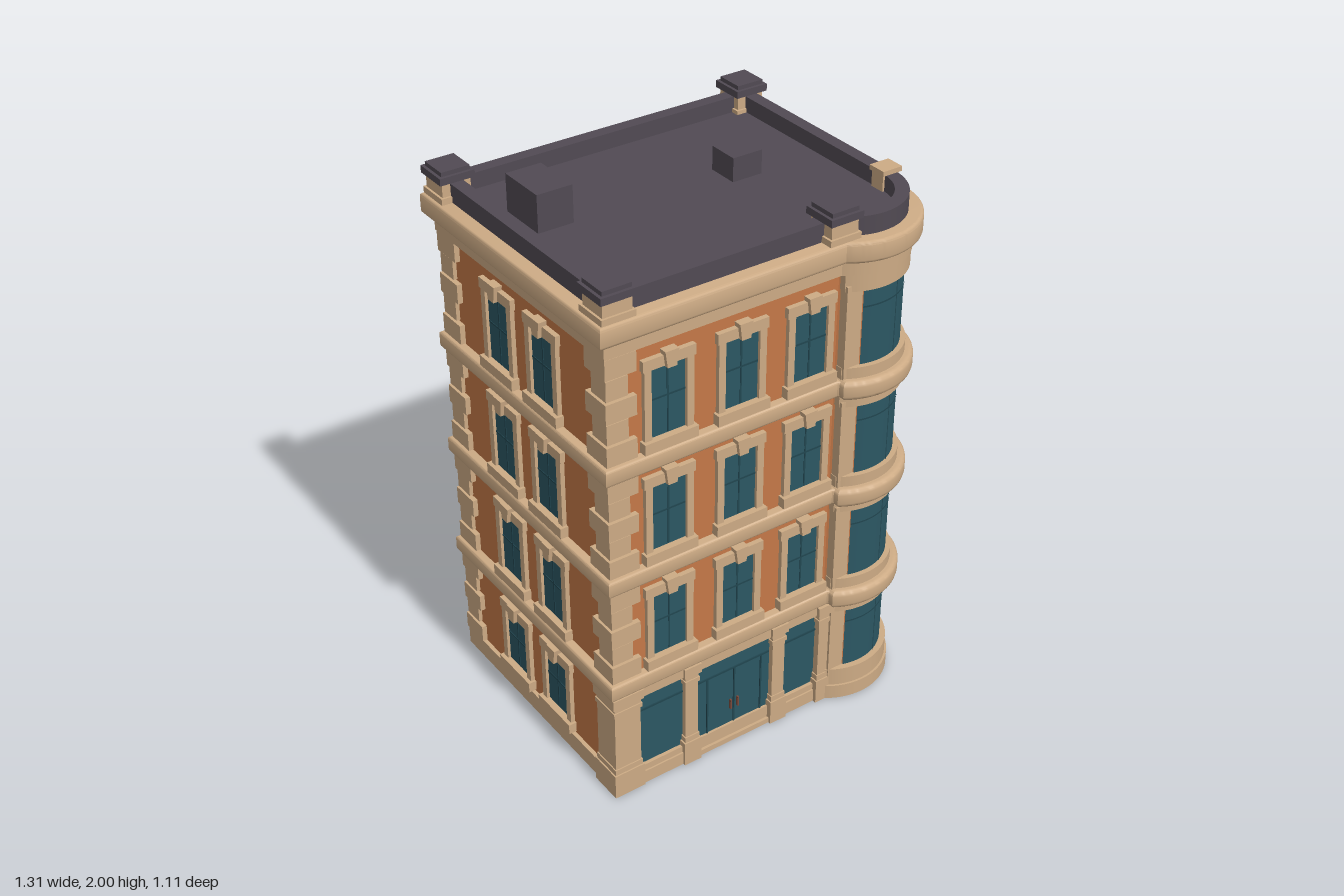
import * as THREE from 'three';
import { toCreasedNormals } from 'three/addons/utils/BufferGeometryUtils.js';

const mat = (name, color, side = THREE.FrontSide) => {
  const m = new THREE.MeshStandardMaterial({ color, side });
  m.name = name;
  return m;
};

// Wall lines, and the centre and radius of the rounded corner bay
const X = 0.605, BACK = -0.505, FRONT = 0.455, CX = 0.4, CZ = 0.3, R = 0.205;
const FLOORS = [0.065, 0.49, 0.92, 1.345];

export function createModel() {
  const root = new THREE.Group();
  root.name = 'cornerBuilding';
  const brick = mat('brick', 0xc47848), stone = mat('stone', 0xcdab85);
  const glass = mat('glass', 0x2c5763, THREE.DoubleSide), bars = mat('windowBars', 0x214650);
  const slate = mat('roofSlate', 0x514a53), brass = mat('doorHandle', 0x7a4a3c);

  const add = (parent, name, geo, m) => {
    const mesh = new THREE.Mesh(geo, m);
    mesh.name = name;
    parent.add(mesh);
    return mesh;
  };
  // Box given by its limits
  const box = (parent, name, m, x0, x1, y0, y1, z0, z1) => {
    const mesh = add(parent, name, new THREE.BoxGeometry(x1 - x0, y1 - y0, z1 - z0), m);
    mesh.position.set((x0 + x1) / 2, (y0 + y1) / 2, (z0 + z1) / 2);
    return mesh;
  };

  // Building plan, grown outward by o; shape y is -z
  const plan = (o, Type = THREE.Shape) => {
    const s = new Type(), r = R + o;
    const a = Math.PI + Math.asin((FRONT - CZ + o) / r);
    s.moveTo(-X - o, -BACK + o);
    s.lineTo(-X - o, -FRONT - o);
    s.lineTo(CX + r * Math.cos(a), -FRONT - o);
    s.absarc(CX, -CZ, r, a, Math.PI * 2, false);
    s.lineTo(X + o, -BACK + o);
    s.closePath();
    return s;
  };
  // Plan of the bay trims alone
  const bayPlan = (r, left = 0.26, rear = 0.24) => {
    const s = new THREE.Shape(), a = Math.PI + Math.acos((CX - left) / r);
    s.moveTo(CX, -rear);
    s.lineTo(left, -FRONT + 0.1);
    s.lineTo(left, -CZ + r * Math.sin(a));
    s.absarc(CX, -CZ, r, a, Math.PI * 2, false);
    s.lineTo(CX + r, -rear);
    s.closePath();
    return s;
  };
  const slab = (name, shape, y0, y1, m, b = 0) => {
    let geo = new THREE.ExtrudeGeometry(shape, {
      depth: y1 - y0 - 2 * b, curveSegments: 28, bevelEnabled: b > 0,
      bevelThickness: b, bevelSize: b, bevelOffset: -b, bevelSegments: 3,
    });
    geo.translate(0, 0, b);
    geo.rotateX(-Math.PI / 2);
    geo = toCreasedNormals(geo, 0.6);
    add(root, name, geo, m).position.y = y0;
  };

  // Body, plinth, storey bands and cornice
  slab('walls', plan(-0.002), 0, 1.84, brick);
  slab('plinth', plan(0.013), 0.004, 0.075, stone);
  for (const y of [0.43, 0.86, 1.285]) {
    slab('storeyBand', plan(0.03), y, y + 0.06, stone, 0.008);
    slab('bayBand', bayPlan(0.253), y - 0.005, y + 0.065, stone, 0.018);
  }
  slab('frieze', plan(0.02), 1.73, 1.79, stone);
  slab('cornice', plan(0.05), 1.785, 1.86, stone, 0.012);

  // Roof deck and parapet
  slab('roofDeck', plan(-0.03), 1.85, 1.868, slate);
  const rim = plan(0);
  rim.holes.push(plan(-0.047, THREE.Path));
  slab('parapet', rim, 1.86, 1.925, slate);

  // Corner piers with stepped caps
  for (const [x, z] of [[-0.583, -0.488], [0.578, -0.488], [-0.583, 0.436], [0.248, 0.441]]) {
    const p = new THREE.Group();
    p.name = 'roofPier';
    p.position.set(x, 0, z);
    box(p, 'pierFoot', stone, -0.06, 0.06, 1.86, 1.882, -0.06, 0.06);
    box(p, 'pierBlock', stone, -0.052, 0.052, 1.88, 1.93, -0.052, 0.052);
    box(p, 'pierCap', slate, -0.063, 0.063, 1.93, 1.955, -0.063, 0.063);
    box(p, 'pierCapTop', slate, -0.052, 0.052, 1.955, 1.97, -0.052, 0.052);
    root.add(p);
  }
  box(root, 'smallPier', stone, 0.55, 0.615, 1.86, 1.925, 0.255, 0.31);
  box(root, 'smallPierCap', stone, 0.545, 0.622, 1.925, 1.942, 0.248, 0.317);

  // Roof boxes with louvres
  for (const [x0, x1, z0, z1, top] of [[-0.5, -0.37, -0.265, -0.08, 2], [0.2, 0.315, -0.135, -0.02, 1.953]]) {
    box(root, 'roofBox', slate, x0, x1, 1.86, top, z0, z1);
    const w = (z1 - z0) * 0.3;
    for (const z of [z0 + w * 0.9, z1 - w * 0.9])
      for (let i = 0; i < 3; i++) {
        const y = top - 0.03 - i * 0.014;
        box(root, 'louvre', slate, x1, x1 + 0.003, y, y + 0.007, z - w * 0.4, z + w * 0.4);
      }
  }

  // Sash window facing +z with its stone surround
  const keyShape = new THREE.Shape([[-0.017, 0], [0.017, 0], [0.025, 0.058], [-0.025, 0.058]]
    .map(([x, y]) => new THREE.Vector2(x, y)));
  const addWindow = (x, z, turn, y, h) => {
    const g = new THREE.Group(), top = 0.045 + h;
    g.name = 'window';
    g.position.set(x, y, z);
    g.rotation.y = turn;
    box(g, 'pane', glass, -0.066, 0.066, 0.04, top, -0.005, 0.003);
    box(g, 'mullion', bars, -0.003, 0.003, 0.045, top, 0, 0.005);
    box(g, 'meetingRail', bars, -0.066, 0.066, 0.04 + h * 0.55, 0.046 + h * 0.55, 0, 0.005);
    box(g, 'sill', stone, -0.1, 0.1, 0.003, 0.042, -0.005, 0.028);
    for (const s of [-1, 1]) box(g, 'jamb', stone, s * 0.078 - 0.013, s * 0.078 + 0.013, 0.04, top, -0.005, 0.014);
    box(g, 'lintel', stone, -0.097, 0.097, top, top + 0.038, -0.005, 0.016);
    add(g, 'keystone', new THREE.ExtrudeGeometry(keyShape, { depth: 0.03, bevelEnabled: false }), stone).position.y = top - 0.003;
    root.add(g);
  };
  FLOORS.forEach((y, i) => {
    const h = i ? 0.247 : 0.22, y0 = i ? y : 0.08;
    if (i) for (const x of [-0.39, -0.115, 0.153]) addWindow(x, FRONT, 0, y0, h);
    addWindow(X, -0.135, Math.PI / 2, y0, h);
    for (const z of [-0.165, 0.1]) addWindow(-X, z, -Math.PI / 2, y0, h);
  });

  // Quoins: alternating long and short corner blocks
  for (const [sx, z, sz] of [[-1, BACK, -1], [1, BACK, -1], [-1, FRONT, 1]])
    FLOORS.forEach((y, f) => {
      if (f === 0 && sz > 0) return;
      const y0 = f ? y : 0.075, step = ([0.43, 0.86, 1.285, 1.73][f] - y0) / 5;
      for (let i = 0; i < 5; i++) {
        const l = i % 2 ? 0.082 : 0.11, out = i % 2 ? 0.012 : 0.017;
        const a = sx * (X + out), b = sx * (X + 0.015 - l), c = z + sz * out, d = z + sz * (0.015 - l);
        box(root, 'quoin', stone, Math.min(a, b), Math.max(a, b), y0 + i * step + 0.003,
          y0 + (i + 1) * step - 0.003, Math.min(c, d), Math.max(c, d));
      }
    });

  // Rounded bay: curved glass with sills, heads and bars on every floor
  const T0 = -0.32, T1 = 1.72;
  const arc = (name, m, r, y0, y1, t0, t1) => add(root, name,
    new THREE.CylinderGeometry(r, r, y1 - y0, 32, 1, true, t0, t1 - t0), m).position.set(CX, (y0 + y1) / 2, CZ);
  [[0.13, 0.39], [0.535, 0.82], [0.965, 1.24], [1.39, 1.67]].forEach(([y0, y1], i) => {
    arc('bayGlass', glass, 0.206, y0 - 0.01, y1 + 0.01, T0, T1);
    for (const t of [0.37, 1.05]) arc('bayMullion', bars, 0.208, y0, y1, t - 0.014, t + 0.014);
    const rail = y0 + (y1 - y0) * 0.75;
    arc('bayRail', bars, 0.208, rail, rail + 0.006, T0, T1);
    slab('bayHead', bayPlan(0.222, 0.27), y1, i < 3 ? y1 + 0.05 : 1.735, stone);
    if (i) slab('baySill', bayPlan(0.224, 0.27), y0 - 0.06, y0, stone);
    // Flat pilasters on both sides of the bay
    box(root, 'bayPilasterFront', stone, 0.272, 0.34, y0 - 0.05, y1 + 0.02, 0.3, 0.492);
    box(root, 'bayPilasterSide', stone, 0.5, 0.617, y0 - 0.06, y1 + 0.09, 0.165, 0.277);
  });
  slab('bayBase', bayPlan(0.236, 0.25), 0.004, 0.06, stone);
  slab('bayBaseUpper', bayPlan(0.228, 0.26), 0.06, 0.13, stone);

  // Shopfront
  box(root, 'shopGlass', glass, -0.52, 0.26, 0.02, 0.395, 0.44, 0.459);
  box(root, 'shopBeam', stone, -0.6, 0.3, 0.392, 0.435, 0.44, 0.478);
  for (const [x0, x1] of [[-0.52, -0.33], [0.07, 0.24]]) {
    box(root, 'bulkhead', stone, x0, x1, 0.004, 0.055, 0.44, 0.478);
    box(root, 'bulkheadTop', stone, x0, x1, 0.055, 0.08, 0.44, 0.472);
    box(root, 'shopRail', bars, x0, x1, 0.315, 0.322, 0.455, 0.463);
  }
  box(root, 'threshold', stone, -0.29, 0.03, 0.004, 0.025, 0.44, 0.478);
  box(root, 'doorTransom', bars, -0.285, 0.025, 0.315, 0.322, 0.455, 0.463);
  for (const x of [-0.235, -0.122, -0.008]) box(root, 'doorStile', bars, x - 0.003, x + 0.003, 0.025, 0.317, 0.455, 0.463);
  for (const x of [-0.137, -0.107]) box(root, 'doorHandle', brass, x - 0.003, x + 0.003, 0.14, 0.18, 0.455, 0.468);

  // Ground floor columns: stepped base, shaft and capital around a rectangle
  const column = (x0, x1, z0, z1) => {
    const g = new THREE.Group();
    g.name = 'column';
    for (const [part, y0, y1, e] of [['base', 0.004, 0.1, 0], ['baseMoulding', 0.1, 0.122, 0.005],
      ['shaft', 0.122, 0.355, 0.009], ['neckMoulding', 0.355, 0.372, 0.004], ['neck', 0.372, 0.392, 0.008], ['capital', 0.392, 0.43, 0]])
      box(g, part, stone, x0 + e, x1 - e, y0, y1, z0 + e, z1 - e);
    root.add(g);
  };
  column(-0.63, -0.51, 0.36, 0.485);
  column(-0.347, -0.278, 0.42, 0.488);
  column(0.02, 0.09, 0.42, 0.488);
  column(0.22, 0.305, 0.42, 0.492);
  column(0.52, 0.632, 0.163, 0.278);

  return root;
}
